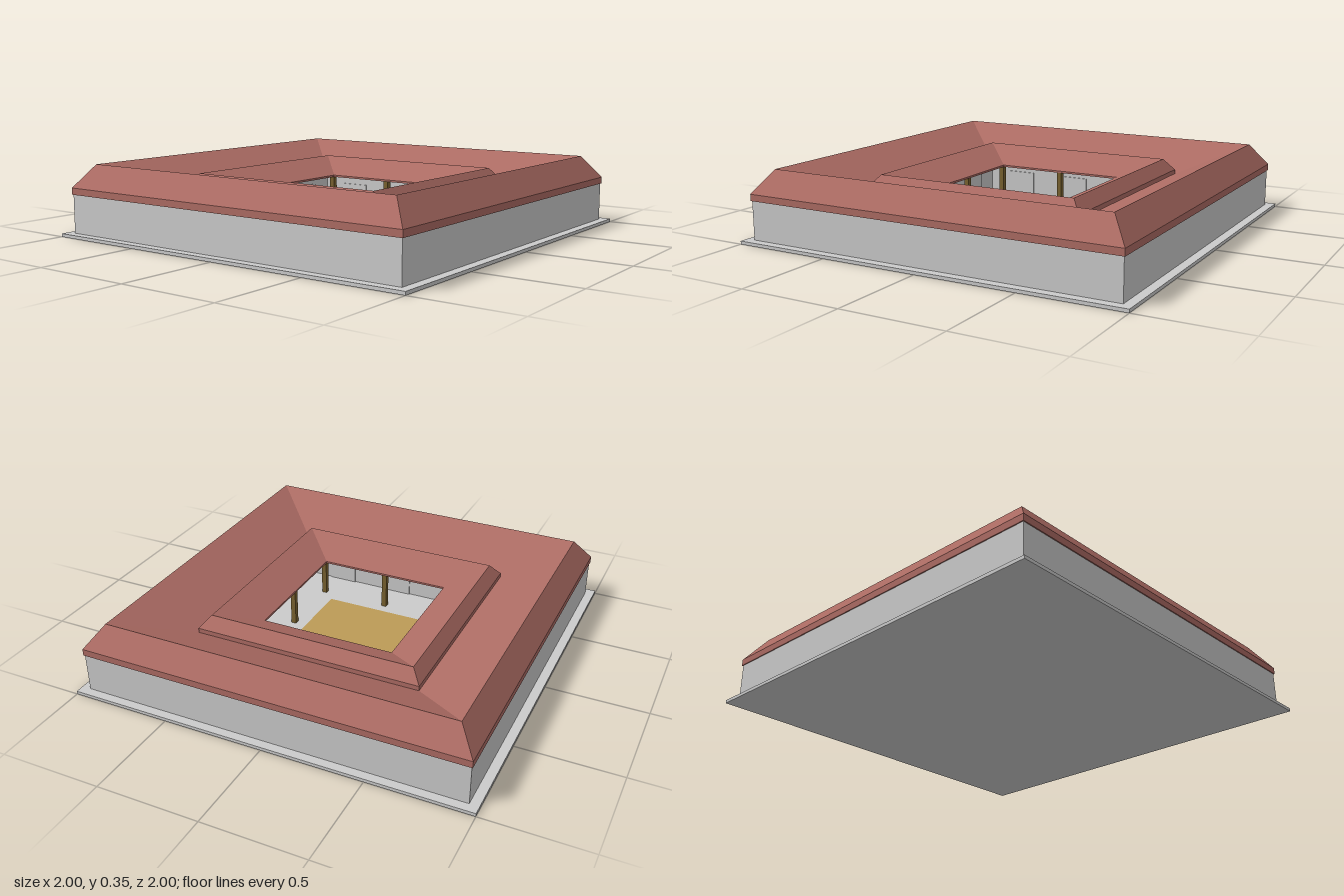
import * as THREE from 'three';

const mat = (color) => new THREE.MeshStandardMaterial({ color, flatShading: true });

export function createModel() {
  const model = new THREE.Group();
  const grey = mat(0xcccccc);
  const tile = mat(0xad6c64);
  const gold = mat(0xbc9b56);
  const wood = mat(0x7a6330);

  const add = (name, geometry, material, x = 0, y = 0, z = 0, parent = model) => {
    const mesh = new THREE.Mesh(geometry, material);
    mesh.name = name;
    mesh.position.set(x, y, z);
    parent.add(mesh);
    return mesh;
  };

  // Square ring swept from a closed [half width, height] profile
  const squareRing = (profile) => new THREE.LatheGeometry(
    [...profile, profile[0]].map(([r, y]) => new THREE.Vector2(r * Math.SQRT2, y)),
    4, Math.PI / 4);

  const wallRing = (outer, thick, y0, y1) => squareRing(
    [[outer, y0], [outer, y1], [outer - thick, y1], [outer - thick, y0]]);

  // Base slab and courtyard floor
  add('plinth', new THREE.BoxGeometry(2, 0.016, 2), grey, 0, 0.008, 0);
  add('courtyardFloor', new THREE.BoxGeometry(0.58, 0.004, 0.58), gold, 0, 0.018, 0);

  // Walls around the outside and around the courtyard gallery
  add('outerWall', wallRing(0.955, 0.025, 0.016, 0.21), grey);
  add('innerWall', wallRing(0.55, 0.02, 0.016, 0.21), grey);

  // Outer roof, then the smaller roof around the opening
  add('outerRoof', squareRing(
    [[0.96, 0.207], [0.96, 0.24], [0.875, 0.354], [0.572, 0.217], [0.572, 0.207]]), tile);
  add('innerRoof', squareRing(
    [[0.572, 0.207], [0.572, 0.24], [0.523, 0.3], [0.34, 0.217], [0.34, 0.207]]), tile);

  // Each side of the courtyard: three doors and two pillars
  for (let i = 0; i < 4; i++) {
    const side = new THREE.Group();
    side.name = 'courtyardSide';
    side.rotation.y = i * Math.PI / 2;
    for (const x of [-0.33, 0, 0.33]) {
      add('door', new THREE.BoxGeometry(0.15, 0.13, 0.008), grey, x, 0.081, -0.528, side);
    }
    for (const x of [-0.36, 0]) {
      add('pillar', new THREE.BoxGeometry(0.026, 0.194, 0.026), wood, x, 0.113, -0.36, side);
    }
    model.add(side);
  }

  return model;
}
